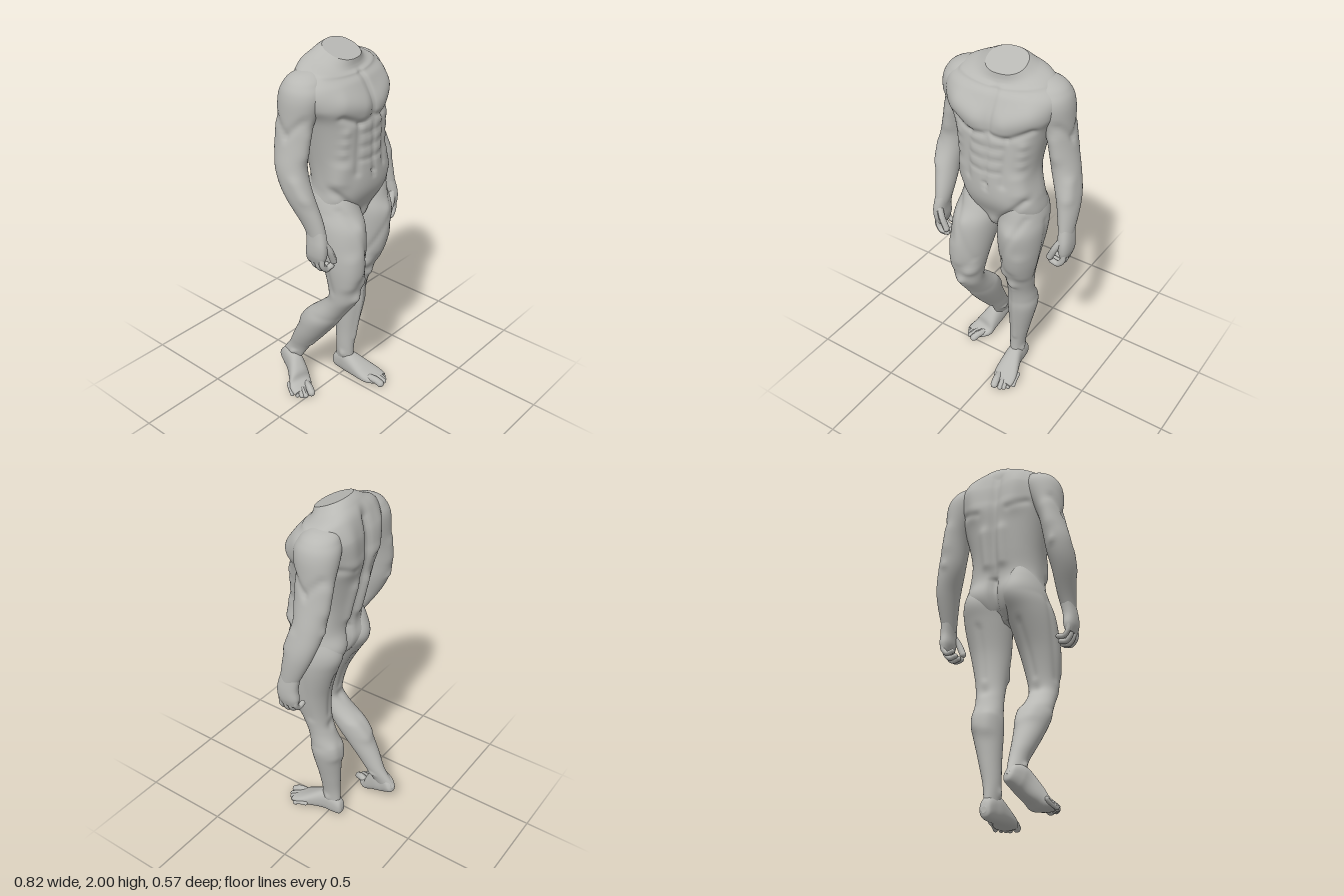
import * as THREE from 'three';
import { mergeGeometries } from 'three/addons/utils/BufferGeometryUtils.js';

const { clamp, smoothstep } = THREE.MathUtils;
const spline = (a, b, c, d, f) =>
  b + 0.5 * f * (c - a + f * (2 * a - 5 * b + 4 * c - d + f * (3 * (b - c) + d - a)));
const DIRS = { f: [0, 1], b: [0, -1], l: [1, 0], r: [-1, 0] };

// A muscle stroke raises (or grooves) the surface facing one side along a line;
// u is x for front and back, z for left and right.
const line = (side, u0, y0, u1, y1, r, amount) => ({ side, u0, y0, u1, y1, r, amount });
const dot = (side, u, y, r, amount) => line(side, u, y, u, y, r, amount);
const both = (m, strokes) => strokes.flatMap((s) =>
  [1, -1].map((k) => ({ ...s, u0: m + k * s.u0, u1: m + k * s.u1 })));

// Move every vertex by a rule
function reshape(geo, rule) {
  const P = geo.attributes.position, p = new THREE.Vector3();
  for (let i = 0; i < P.count; i++) {
    rule(p.fromBufferAttribute(P, i), i);
    P.setXYZ(i, p.x, p.y, p.z);
  }
  geo.computeVertexNormals();
  return geo;
}

function sculpt(geo, strokes) {
  geo.computeVertexNormals();
  const N = geo.attributes.normal.clone(), n = new THREE.Vector3();
  return reshape(geo, (p, i) => {
    n.fromBufferAttribute(N, i);
    let h = 0;
    for (const { side, u0, y0, u1, y1, r, amount } of strokes) {
      const [dx, dz] = DIRS[side], facing = smoothstep(n.x * dx + n.z * dz, 0, 0.6);
      const u = dx ? p.z : p.x, du = u1 - u0, dy = y1 - y0;
      const t = clamp(((u - u0) * du + (p.y - y0) * dy) / (du * du + dy * dy || 1), 0, 1);
      const q = ((u - u0 - t * du) ** 2 + (p.y - y0 - t * dy) ** 2) / (r * r);
      h += amount * facing * Math.exp(-q);
    }
    p.addScaledVector(n, h);
  });
}

// Smooth skin through sections [t, uMin, uMax, vMin, vMax].
// Axis y: (u, t, v) listed downwards; axis z: (u, v, t) listed forwards.
function loft(sections, { axis = 'y', segs = 64, steps = 10, power = 2, strokes = [] } = {}) {
  const rows = (sections.length - 1) * steps, pos = [], idx = [];
  const at = (i) => sections[clamp(i, 0, sections.length - 1)];
  const round = (c) => Math.sign(c) * Math.abs(c) ** (2 / power);
  for (let i = 0; i <= rows; i++) {
    const k = Math.min(Math.floor(i / steps), sections.length - 2);
    const [t, u0, u1, v0, v1] = at(0).map((_, c) =>
      spline(at(k - 1)[c], at(k)[c], at(k + 1)[c], at(k + 2)[c], i / steps - k));
    for (let j = 0; j < segs; j++) {
      const a = (j / segs) * Math.PI * 2;
      const u = (u0 + u1 + round(Math.cos(a)) * (u1 - u0)) / 2;
      const v = (v0 + v1 + round(Math.sin(a)) * (v1 - v0)) / 2;
      pos.push(u, ...(axis === 'y' ? [t, v] : [v, t]));
    }
  }
  for (let i = 0; i < rows; i++) for (let j = 0; j < segs; j++) {
    const a = i * segs + j, b = i * segs + (j + 1) % segs;
    idx.push(a, b, a + segs, b, b + segs, a + segs);
  }
  const body = new THREE.BufferGeometry();
  body.setAttribute('position', new THREE.Float32BufferAttribute(pos, 3));
  body.setIndex(idx);
  sculpt(body, strokes);
  // flat, sharp-edged ends
  const skin = body.attributes.position.array;
  const caps = [0, rows].map((row) => {
    const ring = Array.from(skin.slice(row * segs * 3, (row + 1) * segs * 3)), mid = [0, 0, 0], ci = [];
    ring.forEach((value, i) => { mid[i % 3] += value / segs; });
    for (let j = 0; j < segs; j++) {
      const n = (j + 1) % segs;
      ci.push(...(row ? [segs, j, n] : [segs, n, j]));
    }
    const cap = new THREE.BufferGeometry();
    cap.setAttribute('position', new THREE.Float32BufferAttribute([...ring, ...mid], 3));
    cap.setIndex(ci);
    cap.computeVertexNormals();
    return cap;
  });
  return mergeGeometries([body, ...caps]);
}

// Finger or toe: a bent tube with round ends
function digit(r, ...points) {
  const pts = points.map((p) => new THREE.Vector3(...p));
  const parts = [new THREE.TubeGeometry(new THREE.CatmullRomCurve3(pts), 14, r, 12)];
  for (const p of [pts[0], pts.at(-1)]) parts.push(new THREE.SphereGeometry(r, 12, 10).translate(p.x, p.y, p.z));
  return mergeGeometries(parts).deleteAttribute('uv');
}

function mirror(geo) {
  geo.scale(-1, 1, 1);
  const a = geo.index.array;
  for (let i = 0; i < a.length; i += 3) [a[i], a[i + 1]] = [a[i + 1], a[i]];
  return geo;
}

// Torso from the slanted neck cut to the crotch
function torso() {
  const rows = [0, 1, 2];
  const strokes = [
    line('f', -0.008, 1.87, -0.005, 1.68, 0.016, -0.012), // breastbone
    line('f', -0.005, 1.64, 0.003, 1.36, 0.014, -0.007), // belly midline
    dot('f', 0.002, 1.385, 0.012, -0.01), // navel
    dot('f', 0.013, 1.12, 0.04, 0.024), // groin
    line('b', -0.03, 1.88, 0.005, 1.32, 0.026, -0.02), // spine
    line('b', 0.01, 1.28, 0.018, 1.08, 0.022, -0.04), // cleft
    ...both(-0.006, [
      line('f', 0.08, 1.73, 0.18, 1.765, 0.06, 0.018), // chest muscle and its lower edge
      line('f', 0.02, 1.662, 0.1, 1.652, 0.016, -0.011),
      line('f', 0.1, 1.652, 0.2, 1.7, 0.018, -0.011),
      line('f', 0.03, 1.89, 0.22, 1.9, 0.016, 0.009), // collarbone
      line('f', 0.105, 1.62, 0.1, 1.4, 0.02, -0.008), // belly edge
      ...rows.map((i) => line('f', 0.015, 1.59 - i * 0.067, 0.08, 1.597 - i * 0.067, 0.013, -0.006)),
      ...rows.map((i) => dot('f', 0.17, 1.62 - i * 0.055, 0.022, 0.008)), // rib muscles
      line('f', 0.165, 1.43, 0.18, 1.36, 0.038, 0.013), // flank
      line('f', 0.2, 1.31, 0.035, 1.12, 0.018, -0.012), // groin fold
      line('b', 0.13, 1.83, 0.11, 1.7, 0.055, 0.018), // shoulder blade
      line('b', 0.09, 1.67, 0.19, 1.7, 0.02, -0.007),
      line('b', 0.05, 1.55, 0.045, 1.38, 0.032, 0.014), // loin
      dot('b', 0.115, 1.2, 0.085, 0.042), // buttock
    ]),
  ];
  const geo = loft([
    [1.965, -0.108, 0.1, -0.065, 0.1], [1.93, -0.165, 0.14, -0.1, 0.105], [1.89, -0.262, 0.222, -0.135, 0.12],
    [1.83, -0.315, 0.275, -0.155, 0.165], [1.75, -0.31, 0.265, -0.16, 0.2], [1.66, -0.265, 0.23, -0.16, 0.213],
    [1.45, -0.218, 0.195, -0.12, 0.222], [1.3, -0.208, 0.225, -0.088, 0.222], [1.2, -0.212, 0.235, -0.08, 0.185],
    [1.12, -0.16, 0.19, -0.055, 0.14], [1.07, -0.06, 0.09, -0.01, 0.09],
  ], { segs: 144, steps: 16, power: 2.3, strokes });
  // slant the neck cut and turn the left shoulder back
  return reshape(geo, (p) => {
    const turn = 0.1 * smoothstep(p.y, 1.4, 1.75), x = p.x + 0.02;
    p.y -= 0.42 * smoothstep(p.y, 1.84, 1.965) * (p.z - 0.015);
    p.x = x * Math.cos(turn) + p.z * Math.sin(turn) - 0.02;
    p.z = p.z * Math.cos(turn) - x * Math.sin(turn);
  });
}

// Left leg, standing straight
const leg = () => loft([
  [1.37, 0.09, 0.17, -0.01, 0.1], [1.28, 0.045, 0.218, -0.062, 0.165], [1.18, 0.012, 0.246, -0.09, 0.195],
  [1.08, 0.005, 0.25, -0.083, 0.22], [0.9, 0.012, 0.225, -0.035, 0.192], [0.74, 0.022, 0.188, -0.025, 0.137],
  [0.64, 0.021, 0.172, -0.042, 0.104], [0.56, 0.014, 0.172, -0.07, 0.09], [0.48, 0.008, 0.172, -0.082, 0.086],
  [0.3, 0.014, 0.128, -0.07, 0.06], [0.17, 0.016, 0.1, -0.062, 0.05], [0.05, 0.028, 0.092, -0.067, 0.052],
], { strokes: [
  dot('f', 0.1, 0.71, 0.028, 0.014), // kneecap
  dot('f', 0.055, 0.79, 0.034, 0.014), // thigh muscles
  line('f', 0.175, 0.95, 0.16, 0.8, 0.036, 0.01),
  line('f', 0.14, 1.1, 0.115, 0.86, 0.035, 0.009),
  line('f', 0.2, 1.2, 0.045, 0.88, 0.016, -0.006),
  line('f', 0.095, 0.66, 0.07, 0.25, 0.016, 0.007), // shin
  dot('b', 0.12, 1.18, 0.075, 0.024), // buttock
  dot('b', 0.095, 0.68, 0.032, -0.012), // hollow of the knee
  line('b', 0.11, 1.03, 0.1, 0.76, 0.018, -0.007),
  line('b', 0.055, 0.53, 0.06, 0.46, 0.035, 0.013), // calf
  line('b', 0.125, 0.54, 0.12, 0.48, 0.033, 0.011),
  line('l', 0.045, 1.15, 0.04, 0.75, 0.022, -0.006), // outer thigh
  dot('l', 0, 0.122, 0.02, 0.01), // ankle bones
  dot('r', 0.005, 0.137, 0.02, 0.01),
] });

// Left foot, flat on the ground
function footParts() {
  const foot = loft([
    [-0.085, 0.045, 0.075, 0.03, 0.06], [-0.07, 0.028, 0.09, 0.006, 0.1], [-0.02, 0.02, 0.1, 0, 0.135],
    [0.04, 0.012, 0.108, 0, 0.135], [0.16, 0.012, 0.15, 0, 0.068], [0.222, 0.04, 0.15, 0.006, 0.038],
  ], { axis: 'z', power: 2.4 });
  const toes = [0, 1, 2, 3, 4].map((i) => {
    const r = i ? 0.016 - i * 0.001 : 0.021, x = i ? 0.082 + i * 0.018 : 0.064, z = 0.254 - i * i * 0.0038;
    return digit(r, [x - 0.012, 0.035, z - 0.07], [x - 0.006, r + 0.014, z - 0.03], [x, r, z]);
  });
  return { foot, toes: mergeGeometries(toes) };
}

// Left arm and its relaxed hand with the fingers curling inwards
function armParts() {
  const arm = loft([
    [1.91, 0.13, 0.18, -0.07, -0.02], [1.895, 0.1, 0.242, -0.115, 0.015], [1.86, 0.1, 0.29, -0.145, 0.05],
    [1.79, 0.12, 0.318, -0.164, 0.07], [1.62, 0.195, 0.328, -0.152, 0.035], [1.43, 0.232, 0.37, -0.138, 0.035],
    [1.28, 0.285, 0.399, -0.098, 0.062], [1.1, 0.33, 0.396, -0.015, 0.085],
  ], { strokes: [
    line('l', -0.13, 1.7, -0.05, 1.62, 0.02, -0.007), // shoulder muscle edge
    line('l', 0.03, 1.7, -0.05, 1.62, 0.02, -0.007),
    line('f', 0.265, 1.62, 0.28, 1.53, 0.035, 0.011), // upper arm
    line('b', 0.27, 1.64, 0.285, 1.54, 0.035, 0.01),
    line('f', 0.36, 1.4, 0.365, 1.32, 0.03, 0.01), // forearm
    dot('b', 0.3, 1.43, 0.02, 0.009), // elbow
  ] });
  const palm = loft([
    [1.16, 0.322, 0.392, -0.035, 0.075], [1.08, 0.333, 0.402, -0.024, 0.094],
    [1.02, 0.337, 0.401, -0.03, 0.094], [0.975, 0.35, 0.388, -0.02, 0.08],
  ], { segs: 48, power: 2.4 });
  const fingers = [0, 1, 2, 3].map((i) => {
    const z = 0.072 - i * 0.029, d = 0.006 * (i - 1) ** 2 - 0.006;
    return digit(0.0158 - i * 0.0008, [0.375, 1.01, z], [0.371, 0.965 + d, z + 0.002],
      [0.345, 0.936 + d, z + 0.004], [0.31, 0.942 + d, z + 0.005]);
  });
  const thumb = digit(0.018, [0.36, 1.09, 0.07], [0.334, 1.04, 0.088], [0.306, 0.975, 0.09]);
  return { arm, palm, fingers: mergeGeometries(fingers), thumb };
}

// Right leg pose: knee forward and out, shin trailing behind, heel raised
function trail(p) {
  p.z *= 1.17 - 0.12 * smoothstep(p.y, 0.55, 0.75);
  p.y += 0.09 * (1 - smoothstep(p.y, 0.05, 0.4));
  const s = p.y - 0.68;
  p.x += Math.min(0.014, 0.135 * p.y - 0.145);
  p.z += 0.125 + 0.18 * s - 0.43 * Math.hypot(s, 0.03);
}

// Right foot pose: heel lifted about the ball
function liftHeel(p) {
  const y = p.y, z = p.z - 0.16, a = 0.46 * (1 - smoothstep(z, -0.06, 0.03));
  p.set(p.x + 0.085, y * Math.cos(a) - z * Math.sin(a), z * Math.cos(a) + y * Math.sin(a));
}

export function createModel() {
  const model = new THREE.Group();
  const skin = new THREE.MeshStandardMaterial({ color: 0xb8b8b4 });
  skin.name = 'stone grey';
  const add = (name, geo) => {
    const mesh = new THREE.Mesh(geo, skin);
    mesh.name = name;
    model.add(mesh);
  };
  const addAll = (side, parts, pose = (geo) => geo) =>
    Object.entries(parts).forEach(([name, geo]) => add(`${side} ${name}`, pose(geo)));

  add('torso', torso());
  addAll('left', { leg: leg(), ...footParts(), ...armParts() });
  addAll('right', { leg: leg() }, (geo) => reshape(mirror(geo), trail));
  addAll('right', footParts(), (geo) =>
    reshape(mirror(geo), liftHeel).rotateY(-0.25).translate(-0.25, 0, -0.085));

  // Right arm hangs further forward, its hand turned towards the thigh
  addAll('right', armParts(), (geo) => reshape(mirror(geo), (p) => {
    const low = 1 - smoothstep(p.y, 1.1, 1.5);
    p.x += 0.085 * low - 0.05;
    p.z += 0.065 * low + 0.042;
  }));
  return model;
}
